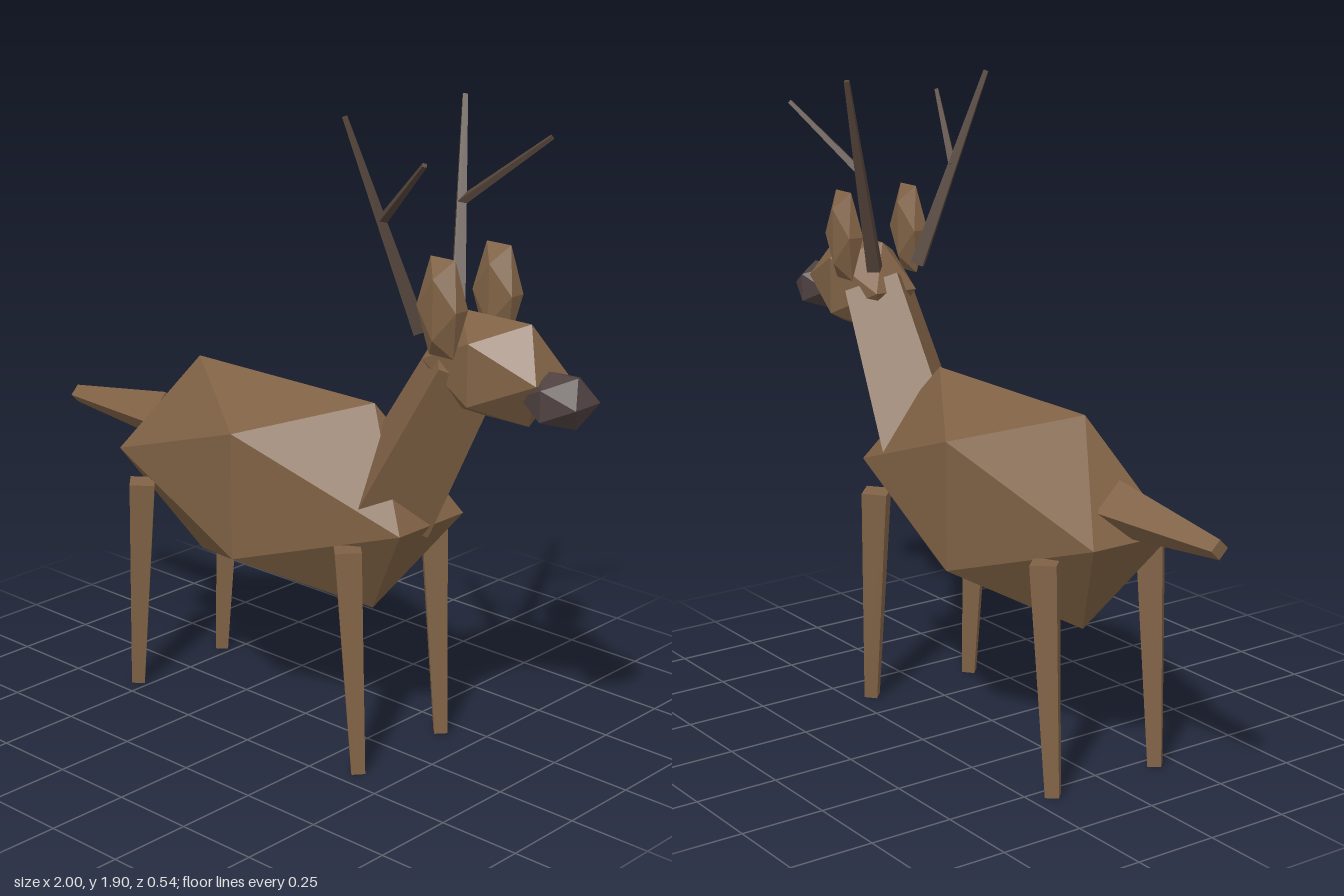
import * as THREE from 'three';

function material(name, color) {
  const m = new THREE.MeshStandardMaterial({ color, flatShading: true });
  m.name = name;
  return m;
}

export function createModel() {
  const group = new THREE.Group();
  const fur = material('brown fur', 0x806245);
  const horn = material('dark horn', 0x54443a);
  const noseDark = material('dark nose', 0x4e4140);

  function add(name, geometry, mat) {
    const mesh = new THREE.Mesh(geometry, mat);
    mesh.name = name;
    group.add(mesh);
    return mesh;
  }

  // Stretched icosahedron, the base of every rounded part
  function lump(name, mat, position, scale) {
    const mesh = add(name, new THREE.IcosahedronGeometry(1, 0), mat);
    mesh.position.set(...position);
    mesh.scale.set(...scale);
  }

  // Tapered four-sided limb between two points
  function limb(name, mat, from, to, rFrom, rTo) {
    const a = new THREE.Vector3(...from);
    const b = new THREE.Vector3(...to);
    const dir = b.clone().sub(a);
    const mesh = add(name, new THREE.CylinderGeometry(rTo, rFrom, dir.length(), 4), mat);
    mesh.position.copy(a).add(b).multiplyScalar(0.5);
    mesh.quaternion.setFromUnitVectors(new THREE.Vector3(0, 1, 0), dir.normalize());
  }

  // Trunk, neck, head and tail
  lump('body', fur, [-0.085, 0.73, 0], [0.668, 0.364, 0.26]);
  limb('neck', fur, [0.335, 0.765, 0], [0.597, 1.23, 0], 0.155, 0.12);
  lump('head', fur, [0.69, 1.23, 0], [0.228, 0.165, 0.135]);
  lump('nose', noseDark, [0.908, 1.185, 0], [0.108, 0.082, 0.1]);
  limb('tail', fur, [-0.588, 0.812, 0], [-1, 0.802, 0], 0.08, 0.028);

  // Mirrored parts
  for (const [side, s] of [['near', 1], ['far', -1]]) {
    limb(side + 'FrontLeg', fur, [0.378, 0.002, 0.183 * s], [0.335, 0.67, 0.185 * s], 0.028, 0.053);
    limb(side + 'HindLeg', fur, [-0.543, 0.002, 0.183 * s], [-0.502, 0.67, 0.185 * s], 0.028, 0.053);
    lump(side + 'Ear', fur, [0.602, 1.4, 0.117 * s], [0.08, 0.158, 0.047]);
    limb(side + 'Antler', horn, [0.495, 1.308, 0.078 * s], [0.37, 1.893, 0.245 * s], 0.028, 0.01);
    limb(side + 'AntlerBranch', horn, [0.425, 1.61, 0.16 * s], [0.658, 1.808, 0.263 * s], 0.015, 0.008);
  }
  return group;
}
